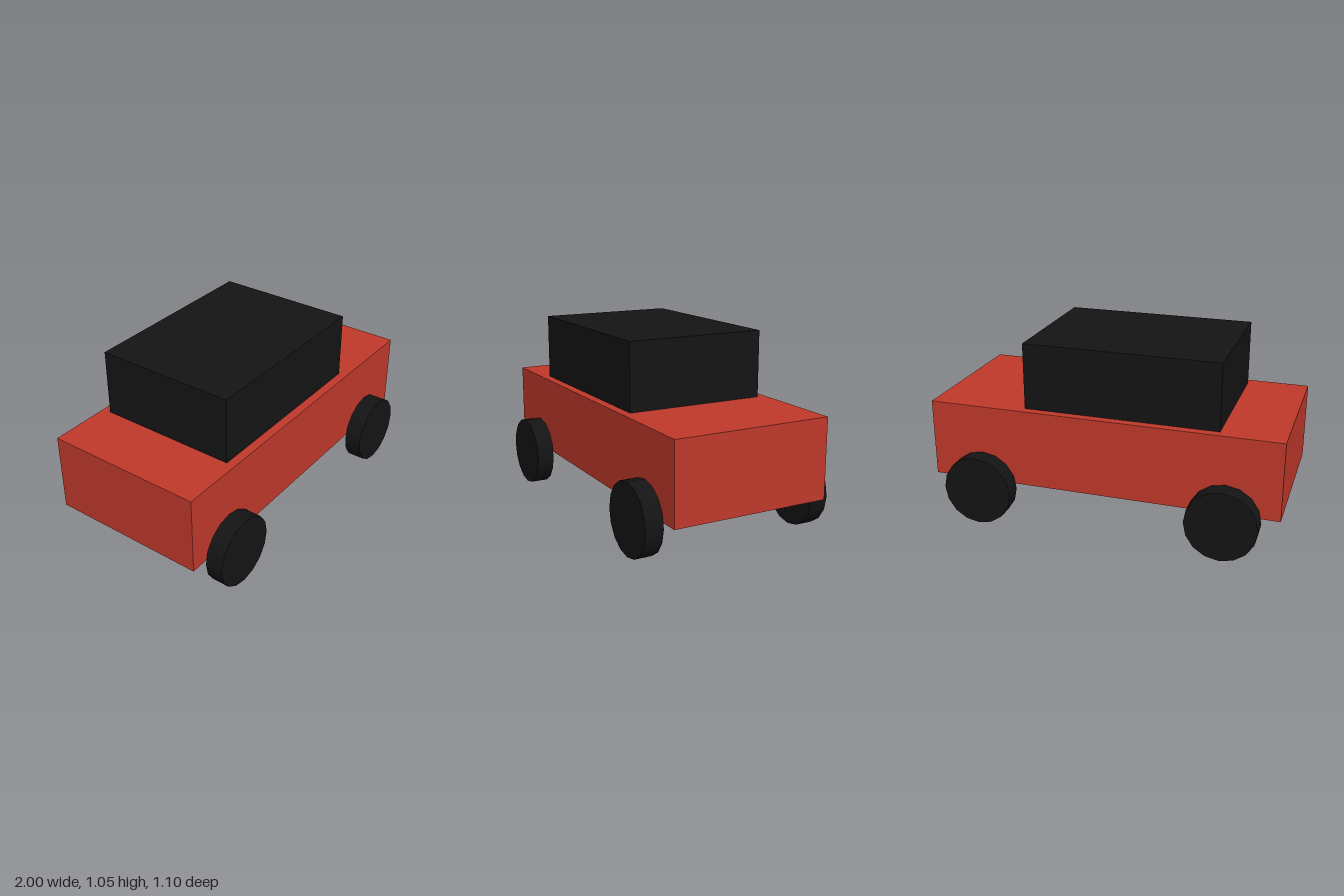
import * as THREE from 'three';

export function createModel() {
  const model = new THREE.Group();
  model.name = 'car';

  const red = new THREE.MeshStandardMaterial({ color: 0xc0392b });
  red.name = 'red paint';
  const black = new THREE.MeshStandardMaterial({ color: 0x141414 });
  black.name = 'black';

  const add = (name, geometry, material, x, y, z) => {
    const mesh = new THREE.Mesh(geometry, material);
    mesh.name = name;
    mesh.position.set(x, y, z);
    model.add(mesh);
  };

  // Body and the cabin set slightly toward -x
  add('body', new THREE.BoxGeometry(2, 0.445, 0.9), red, 0, 0.4525, 0);
  add('cabin', new THREE.BoxGeometry(1.1, 0.375, 0.8), black, -0.1, 0.8625, 0);

  // Four 16-sided wheels, flush against the body sides
  const wheel = new THREE.CylinderGeometry(0.2, 0.2, 0.1, 16).rotateX(Math.PI / 2);
  for (const [end, x] of [['left', 0.7], ['right', -0.7]]) {
    for (const [side, z] of [['front', 0.5], ['back', -0.5]]) {
      add(`${side} ${end} wheel`, wheel, black, x, 0.2, z);
    }
  }

  return model;
}
